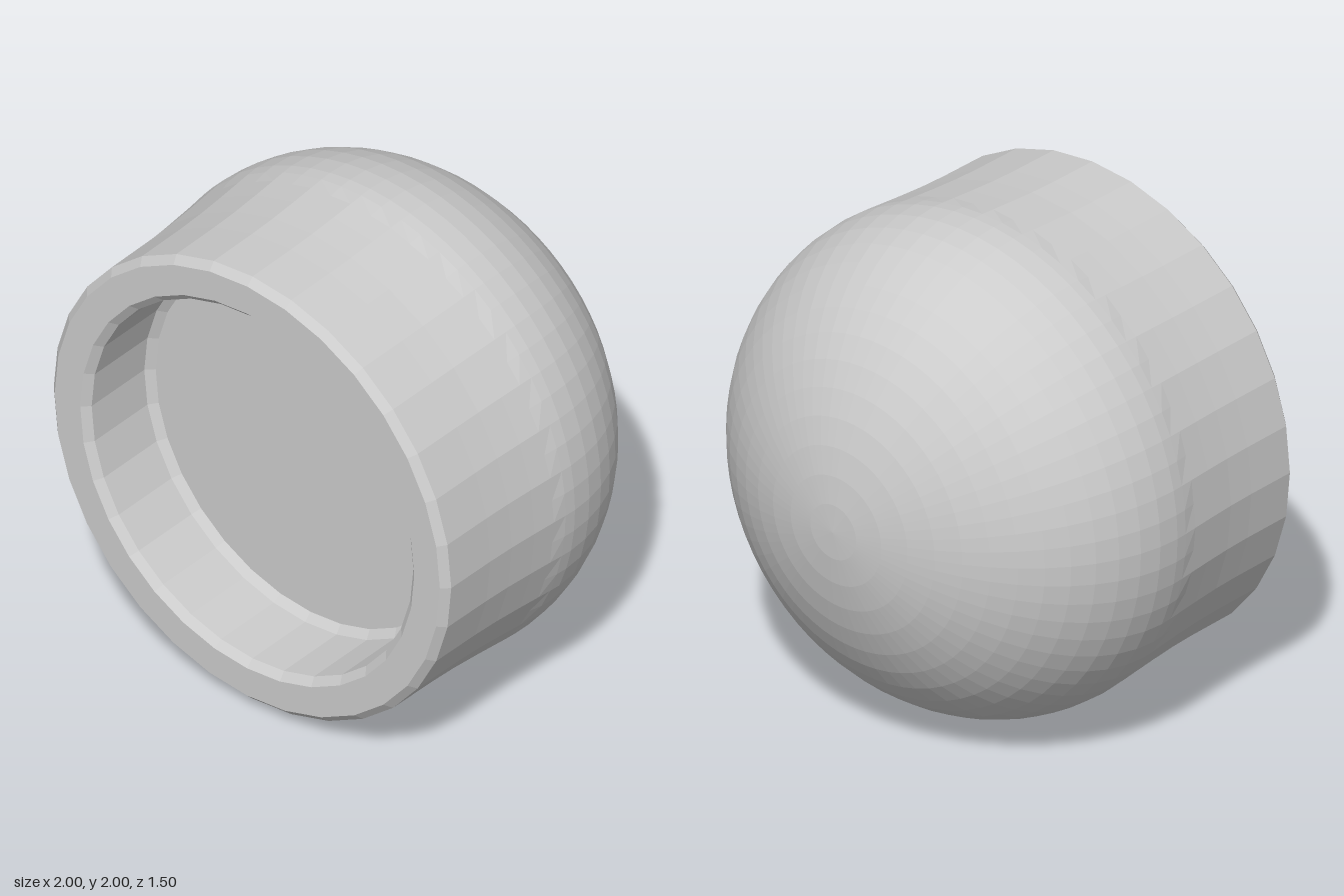
import * as THREE from 'three';

const SEGMENTS = 32;

// Turn a [radius, z] profile around the z axis
function turned(name, profile, segments = SEGMENTS) {
  const points = profile.map(([r, z]) => new THREE.Vector2(r, z));
  const geometry = new THREE.LatheGeometry(points, segments);
  const material = new THREE.MeshStandardMaterial({ color: 0xcccccc, flatShading: true });
  const mesh = new THREE.Mesh(geometry, material);
  mesh.name = name;
  geometry.rotateX(Math.PI / 2);
  return mesh;
}

export function createModel() {
  const group = new THREE.Group();
  group.name = 'domedCap';

  // Dome: half an ellipse from the pole to the widest ring
  const shellProfile = [];
  const rings = 14;
  for (let i = 0; i <= rings; i++) {
    const a = (i / rings) * Math.PI / 2;
    shellProfile.push([Math.sin(a), 0.05 - 0.8 * Math.cos(a)]);
  }
  // Collar: narrows gently towards the open end
  shellProfile.push([0.997, 0.1], [0.992, 0.16], [0.984, 0.26], [0.976, 0.38], [0.972, 0.5], [0.97, 0.72]);
  const shell = turned('domeAndCollar', shellProfile, SEGMENTS * 2);

  // The collar has half as many sides: flatten every other column onto the chord
  const pos = shell.geometry.attributes.position;
  const pull = Math.cos(Math.PI / SEGMENTS);
  for (let i = 0; i < pos.count; i++) {
    const column = Math.floor(i / shellProfile.length);
    if (column % 2 && pos.getZ(i) > 0.15) {
      pos.setXY(i, pos.getX(i) * pull, pos.getY(i) * pull);
    }
  }
  shell.geometry.computeVertexNormals();

  // Rim: flat ring with bevelled edges
  const rim = turned('rim', [[0.97, 0.72], [0.94, 0.75], [0.815, 0.75], [0.785, 0.72]]);

  // Socket: straight wall, bevelled foot and flat floor
  const socket = turned('socket', [[0.785, 0.72], [0.785, 0.42], [0.755, 0.39], [0, 0.39]]);

  group.add(shell, rim, socket);
  group.children.forEach((part) => { part.position.y = 1; });
  return group;
}
